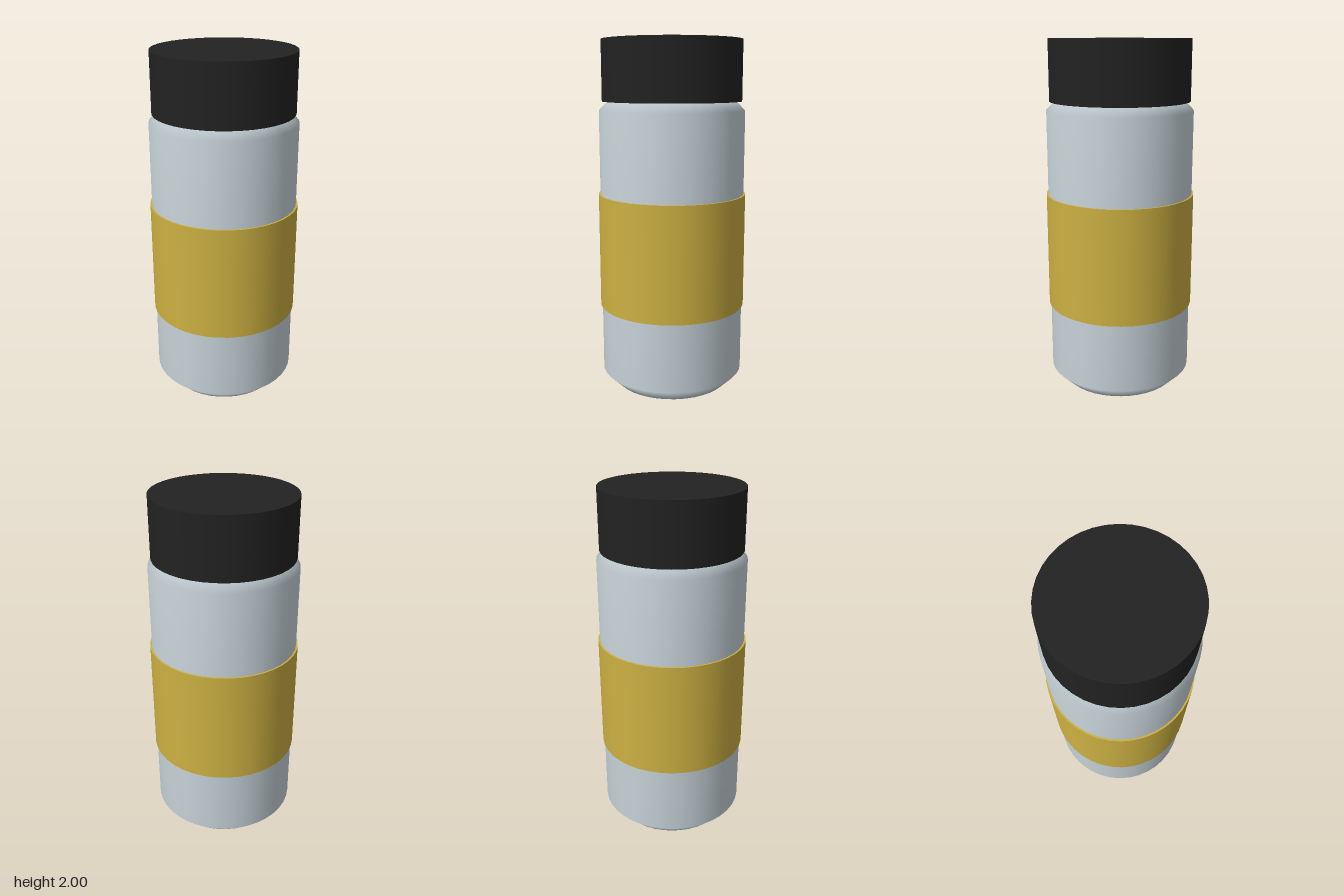
import * as THREE from 'three';

const SEGMENTS = 40;

function material(name, color) {
  const m = new THREE.MeshStandardMaterial({ color });
  m.name = name;
  return m;
}

export function createModel() {
  const steel = material('pale steel', 0xc8d4da);
  const gold = material('gold', 0xccb042);
  const black = material('black', 0x222222);

  const group = new THREE.Group();
  group.name = 'flask';

  function add(name, geometry, mat, y = 0) {
    const mesh = new THREE.Mesh(geometry, mat);
    mesh.name = name;
    mesh.position.y = y;
    group.add(mesh);
  }

  // A straight closed cylinder between two heights
  function drum(name, radius, bottom, top, mat) {
    const geometry = new THREE.CylinderGeometry(radius, radius, top - bottom, SEGMENTS);
    add(name, geometry, mat, (bottom + top) / 2);
  }

  // Smooth body with a bevelled foot and shoulder
  const profile = [
    [0, 0], [0.34, 0], [0.415, 0.075], [0.415, 1.61], [0.34, 1.685], [0, 1.685],
  ].map(([r, y]) => new THREE.Vector2(r, y));
  add('body', new THREE.LatheGeometry(profile, SEGMENTS), steel);

  // Wide band around the middle
  drum('band', 0.425, 0.475, 1.135, gold);

  // Lid
  drum('lid', 0.397, 1.66, 2, black);

  return group;
}
